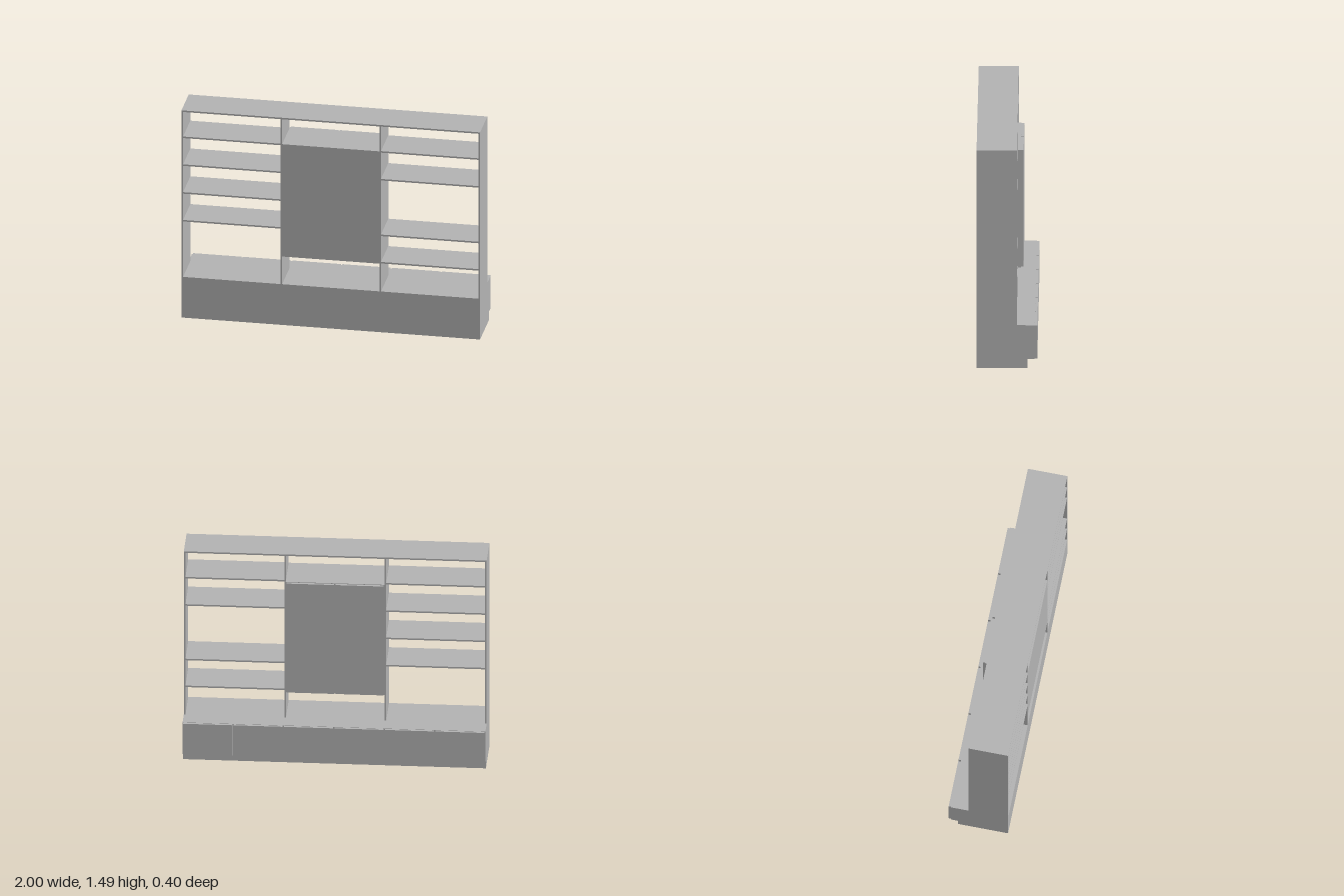
import * as THREE from 'three';

export function createModel() {
  const model = new THREE.Group();
  model.name = 'wallUnit';
  const grey = new THREE.MeshStandardMaterial({ color: 0xb4b4b4 });
  grey.name = 'plainGrey';

  // Box given by its extents along each axis
  function box(name, x0, x1, y0, y1, z0, z1) {
    const mesh = new THREE.Mesh(new THREE.BoxGeometry(x1 - x0, y1 - y0, z1 - z0), grey);
    mesh.position.set((x0 + x1) / 2, (y0 + y1) / 2, (z0 + z1) / 2);
    mesh.name = name;
    model.add(mesh);
  }

  const front = 0.2, back = -0.065, top = 1.49, baseTop = 0.293, t = 0.011;

  // Low base cabinet on a recessed plinth
  box('plinth', -1, 1, 0, 0.06, -0.135, front);
  box('baseCabinet', -1, 1, 0.06, baseTop, -0.183, front);

  // Row of six base doors with narrow gaps
  for (let i = 0; i < 6; i++) {
    const x = -1 + i / 3;
    box('baseDoor', x + 0.005, x + 1 / 3 - 0.005, 0.062, baseTop - 0.002, -0.2, -0.183);
  }

  // Open frame
  box('topPanel', -1, 1, top - t, top, back, front);
  for (const s of [-1, 1]) {
    const side = s * (1 - t / 2), mid = s * 0.331;
    box('sidePanel', side - t / 2, side + t / 2, baseTop, top - t, back, front);
    box('divider', mid - t / 2, mid + t / 2, baseTop, top - t, back, front);
  }

  // Shelves on both sides
  for (const y of [0.697, 0.897, 1.097, 1.297])
    box('rightShelf', -1 + t, -0.3365, y - t / 2, y + t / 2, back, front);
  for (const y of [0.5, 0.697, 1.097, 1.297])
    box('leftShelf', 0.3365, 1 - t, y - t / 2, y + t / 2, back, front);

  // Hanging centre cabinet with a pair of doors
  box('centreCabinet', -0.3255, 0.3255, 0.492, 1.3, -0.087, front);
  for (const s of [-1, 1]) {
    const x = s * 0.1625;
    box('centreDoor', x - 0.1575, x + 0.1575, 0.497, 1.296, -0.105, -0.087);
  }

  return model;
}
